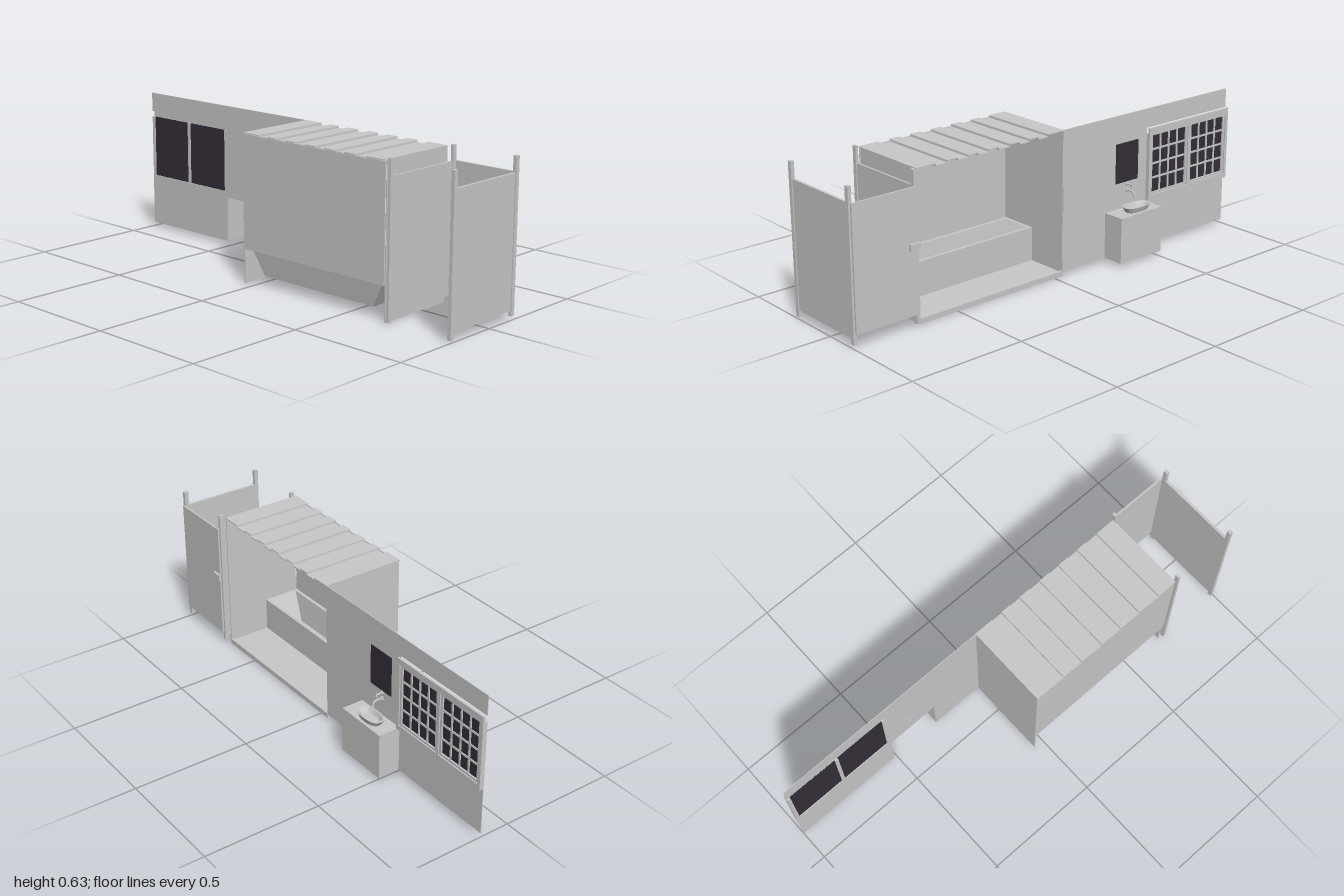
import * as THREE from 'three';

export function createModel() {
  const model = new THREE.Group();
  const grey = new THREE.MeshStandardMaterial({ color: 0xc8c8c8 });
  grey.name = 'plain grey';
  const greySheet = new THREE.MeshStandardMaterial({ color: 0xc8c8c8, side: THREE.DoubleSide });
  greySheet.name = 'plain grey sheet';
  const dark = new THREE.MeshStandardMaterial({ color: 0x352e38 });
  dark.name = 'dark glass';

  const add = (name, geo, mat = grey) => {
    const mesh = new THREE.Mesh(geo, mat);
    mesh.name = name;
    model.add(mesh);
    return mesh;
  };
  // Box given by its limits
  const box = (name, x0, x1, y0, y1, z0, z1, mat) => {
    const geo = new THREE.BoxGeometry(x1 - x0, y1 - y0, z1 - z0);
    geo.translate((x0 + x1) / 2, (y0 + y1) / 2, (z0 + z1) / 2);
    return add(name, geo, mat);
  };
  // Four-cornered face, corners counter-clockwise
  const quad = (name, corners, mat) => {
    const [a, b, c, d] = corners;
    const geo = new THREE.BufferGeometry();
    geo.setAttribute('position', new THREE.Float32BufferAttribute([a, b, c, a, c, d].flat(), 3));
    geo.computeVertexNormals();
    return add(name, geo, mat);
  };

  // Changing stall: two partitions with posts, a door and its handle
  const stall = [['front', 0.985, 0.996, 1], ['inner', 0.7, 0.708, 0.712]];
  for (const [label, z0, z1, zPost] of stall) {
    box(label + 'Partition', -0.21, 0.135, 0.035, 0.56, z0, z1);
    box(label + 'LeftPost', -0.227, -0.209, 0.008, 0.628, z0, zPost);
    box(label + 'RightPost', 0.134, 0.152, 0.015, 0.623, z0, zPost);
  }
  box('stallDoor', 0.152, 0.16, 0.056, 0.56, 0.708, 0.992);
  box('doorHandle', 0.16, 0.171, 0.318, 0.345, 0.7, 0.745);

  // Tub enclosure: end walls, back wall and floor
  const zBack = -0.045, zFront = 0.685, xBack = -0.225, xOpen = 0.13, xTub = -0.055;
  box('backEndWall', xBack, xOpen, 0.003, 0.615, zBack, zBack + 0.004);
  box('frontEndWall', -0.215, xOpen + 0.002, 0, 0.615, zFront - 0.004, zFront);
  box('enclosureBackWall', xBack, xBack + 0.004, 0.145, 0.612, zBack, zFront);
  box('floor', xTub, xOpen, 0.002, 0.015, zBack, zFront);
  box('floorCurb', xOpen - 0.008, xOpen + 0.002, 0, 0.022, zBack, zFront);

  // Tub: front panel, then rim, sloping sides and bottom between rectangular loops
  quad('tubFrontPanel', [[xTub, 0.01, zFront], [xTub, 0.01, zBack], [xTub, 0.16, zBack], [xTub, 0.16, zFront]]);
  const loop = (inset, y, slope) => [
    [-0.22 + inset, y, zFront - inset - slope], [xTub - inset, y, zFront - inset - slope],
    [xTub - inset, y, zBack + inset + slope], [-0.22 + inset, y, zBack + inset + slope]];
  const loops = [loop(0, 0.16, 0), loop(0.015, 0.16, 0), loop(0.03, 0.04, 0.05)];
  ['tubRim', 'tubSide'].forEach((name, k) => {
    for (let i = 0; i < 4; i++) {
      const j = (i + 1) % 4;
      quad(name, [loops[k][i], loops[k][j], loops[k + 1][j], loops[k + 1][i]], greySheet);
    }
  });
  quad('tubBottom', loops[2], greySheet);

  // Stepped slat roof, extruded across the enclosure
  const steps = [zBack, 0.04, 0.09, 0.135, 0.185, 0.235, 0.29, 0.34, 0.39, 0.44, 0.49, 0.54, 0.595, zFront];
  const top = [];
  for (let i = 0; i < steps.length - 1; i++) {
    const y = i % 2 ? 0.609 : 0.618;
    top.push([steps[i] + (i ? 0.0005 : 0), y], [steps[i + 1] - (i < 12 ? 0.0005 : 0), y]);
  }
  const under = top.map(([z, y]) => [z, y - 0.004]).reverse();
  const roofShape = new THREE.Shape([...top, ...under].map(([z, y]) => new THREE.Vector2(-z, y)));
  const roof = new THREE.ExtrudeGeometry(roofShape, { depth: 0.36, bevelEnabled: false });
  roof.rotateY(Math.PI / 2).translate(-0.228, 0, 0);
  add('slatRoof', roof);

  // Long wall, open behind the vanity and at the window
  const w0 = 0.128, w1 = 0.131;
  box('plainWall', w0, w1, 0.018, 0.618, -0.28, zBack);
  box('wallAboveVanity', w0, w1, 0.215, 0.618, -0.515, -0.28);
  box('wallBelowWindow', w0, w1, 0.018, 0.24, -1, -0.515);
  box('wallAboveWindow', w0, w1, 0.535, 0.618, -1, -0.515);

  // Window: outer frame, glass and two sashes with a grid of bars
  const f1 = 0.148;
  box('windowHead', 0.139, f1, 0.508, 0.535, -1, -0.515);
  box('windowSill', w0, f1, 0.218, 0.24, -1, -0.515);
  for (const z of [-0.53, -0.765, -1]) box('windowJamb', w0, f1, 0.24, 0.51, z, z + 0.015);
  for (const z0 of [-0.985, -0.75]) {
    const w = 0.22, y0 = 0.24, h = 0.27, rim = 0.01;
    box('windowGlass', 0.132, 0.136, y0, y0 + h, z0, z0 + w, dark);
    for (const e of [0, w - rim]) box('sashStile', 0.134, 0.143, y0, y0 + h, z0 + e, z0 + e + rim);
    for (const e of [0, h - rim]) box('sashRail', 0.134, 0.143, y0 + e, y0 + e + rim, z0, z0 + w);
    for (let i = 1; i < 4; i++) {
      const z = z0 + rim + (w - 2 * rim) * i / 4, y = y0 + rim + (h - 2 * rim) * i / 4;
      box('uprightBar', 0.134, 0.14, y0, y0 + h, z - 0.004, z + 0.004);
      box('crossBar', 0.134, 0.14, y - 0.004, y + 0.004, z0, z0 + w);
    }
  }

  // Mirror
  box('mirror', w1, 0.135, 0.328, 0.498, -0.462, -0.336, dark);

  // Vanity: a cabinet open at the back and underneath
  const v0 = 0.13, v1 = 0.227, vy0 = 0.018, vy1 = 0.215, vz0 = -0.515, vz1 = -0.28, t = 0.003;
  box('vanityTop', v0, v1, vy1 - t, vy1, vz0, vz1);
  box('vanityFront', v1 - t, v1, vy0, vy1 - t, vz0, vz1);
  for (const z of [vz0, vz1 - t]) box('vanitySide', v0, v1 - t, vy0, vy1 - t, z, z + t);

  // Long oval basin with faceted sides, its circle squared off a little
  const profile = [[0.78, 0], [1, 0.023], [0.86, 0.023], [0.62, 0.004], [0, 0.004]];
  const basin = new THREE.LatheGeometry(profile.map(([r, y]) => new THREE.Vector2(r, y)), 16).toNonIndexed();
  const p = basin.attributes.position;
  for (let i = 0; i < p.count; i++) {
    const r = Math.hypot(p.getX(i), p.getZ(i)) || 1;
    const square = (v) => r * Math.sign(v) * Math.abs(v / r) ** 0.8;
    p.setXYZ(i, 0.037 * square(p.getX(i)), p.getY(i), 0.07 * square(p.getZ(i)));
  }
  basin.computeVertexNormals();
  add('basin', basin).position.set(0.186, vy1, -0.405);

  // Wall tap: curved spout, flanges and lever
  const spout = new THREE.CatmullRomCurve3([[0.126, 0.289], [0.155, 0.29], [0.169, 0.286], [0.175, 0.27]]
    .map(([x, y]) => new THREE.Vector3(x, y, -0.405)));
  add('tapSpout', new THREE.TubeGeometry(spout, 12, 0.0045, 10));
  const rod = (name, r, len, x, y) => {
    const mesh = add(name, new THREE.CylinderGeometry(r, r, len, 12).rotateZ(Math.PI / 2));
    mesh.position.set(x, y, -0.405);
  };
  rod('tapFlange', 0.011, 0.012, 0.131, 0.289);
  rod('leverFlange', 0.009, 0.012, 0.131, 0.315);
  rod('leverStem', 0.004, 0.032, 0.143, 0.315);
  add('tapNozzle', new THREE.CylinderGeometry(0.005, 0.006, 0.008, 12)).position.set(0.175, 0.271, -0.405);
  box('tapLever', 0.155, 0.162, 0.302, 0.32, -0.408, -0.402);

  return model;
}
